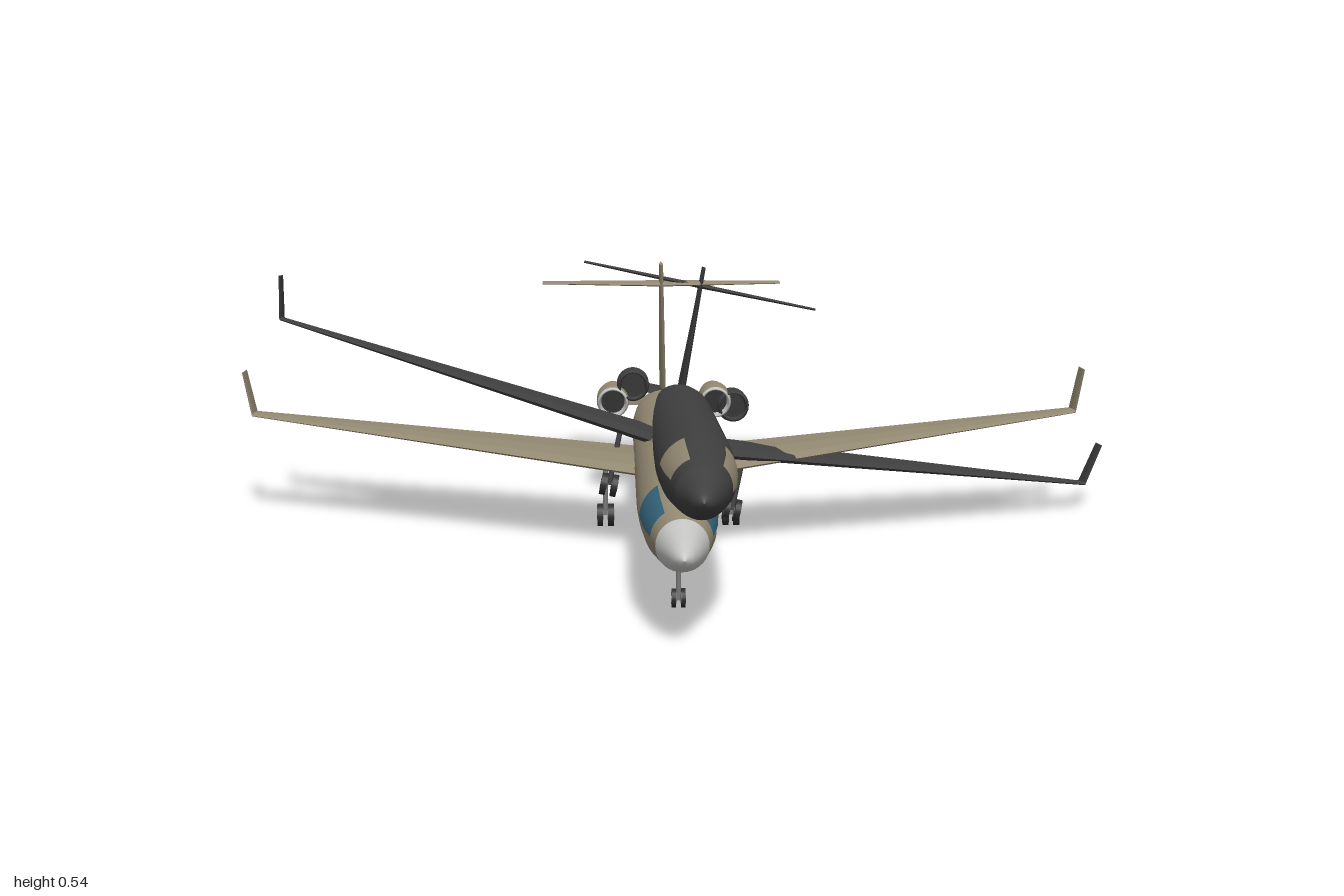
import * as THREE from 'three';

const mat = (name, color) => {
  const m = new THREE.MeshStandardMaterial({ color, side: THREE.DoubleSide });
  m.name = name;
  return m;
};
const V = (x, y, z) => new THREE.Vector3(x, y, z);

// Fuselage outline: [z, radius], tail to nose
const PROFILE = [[-0.98, 0.002], [-0.9, 0.022], [-0.8, 0.042], [-0.7, 0.058], [-0.6, 0.07], [-0.48, 0.0765],
  [-0.2, 0.077], [0.5, 0.077], [0.62, 0.074], [0.75, 0.066], [0.87, 0.048], [0.94, 0.029], [0.97, 0.015], [0.98, 0]];

function radiusAt(z) {
  for (let i = 1; i < PROFILE.length; i++) {
    const [z0, r0] = PROFILE[i - 1], [z1, r1] = PROFILE[i];
    if (z <= z1) return r0 + (r1 - r0) * (z - z0) / (z1 - z0);
  }
  return 0;
}

// Lathe laid along z
function latheZ(points, segments = 32, start = 0, length = Math.PI * 2) {
  const g = new THREE.LatheGeometry(points.map(([z, r]) => new THREE.Vector2(r, z)), segments, start, length);
  return g.rotateX(Math.PI / 2);
}

// A stretch of the body skin, with a slightly dropped nose and raised tail
function skin(z0, z1, offset, segments, start, length) {
  const zs = [z0, ...PROFILE.map(p => p[0]).filter(z => z > z0 && z < z1), z1];
  const g = latheZ(zs.map(z => [z, radiusAt(z) + offset]), segments, start, length);
  const p = g.attributes.position;
  for (let i = 0; i < p.count; i++) {
    const z = p.getZ(i);
    const f = Math.max(0, (Math.abs(z) - 0.5) / 0.48) ** 2;
    p.setY(i, p.getY(i) + f * (z > 0 ? -0.011 : 0.008));
  }
  g.computeVertexNormals();
  return g;
}

// Thin aerofoil blade through stations { x, y, lead, trail, t, nx, ny }; (nx, ny) is the thickness direction
function blade(stations, side = 1) {
  const shape = [[0, 0], [0.12, 0.7], [0.4, 1], [1, 0], [0.4, -1], [0.12, -0.7]];
  const rings = stations.map(s => shape.map(([c, h]) => V(
    side * (s.x + (s.nx ?? 0) * h * s.t), s.y + (s.ny ?? 1) * h * s.t, s.lead + (s.trail - s.lead) * c)));
  const pos = [];
  const tri = (a, b, c) => {
    for (const v of side > 0 ? [a, b, c] : [a, c, b]) pos.push(v.x, v.y, v.z);
  };
  const n = shape.length;
  for (let k = 0; k + 1 < rings.length; k++) {
    for (let i = 0; i < n; i++) {
      const j = (i + 1) % n, a = rings[k], b = rings[k + 1];
      tri(a[i], b[j], b[i]);
      tri(a[i], a[j], b[j]);
    }
  }
  const first = rings[0], last = rings[rings.length - 1];
  for (let i = 1; i + 1 < n; i++) {
    tri(first[0], first[i + 1], first[i]);
    tri(last[0], last[i], last[i + 1]);
  }
  const g = new THREE.BufferGeometry();
  g.setAttribute('position', new THREE.Float32BufferAttribute(pos, 3));
  g.computeVertexNormals();
  return g;
}

function buildJet(paint, noseMat, glassMat, lipMat, tyre, metal) {
  const jet = new THREE.Group();
  const add = (name, geo, material, x = 0, y = 0, z = 0) => {
    const m = new THREE.Mesh(geo, material);
    m.name = name;
    m.position.set(x, y, z);
    jet.add(m);
    return m;
  };

  // Body and nose cone
  add('fuselage', skin(-0.98, 0.87, 0, 36), paint);
  add('noseCone', skin(0.87, 0.98, 0, 36), noseMat);

  // Fin, with its lower edge just above the tail cone
  const fin = blade([
    { x: 0.05, y: 0, lead: -0.57, trail: -0.955, t: 0.008 },
    { x: 0.355, y: 0, lead: -0.815, trail: -0.947, t: 0.005 },
  ]);
  add('fin', fin.rotateZ(Math.PI / 2), paint);
  add('finRoot', new THREE.BoxGeometry(0.012, 0.04, 0.2), paint, 0, 0.045, -0.7);

  for (const s of [1, -1]) {
    // Wing and upturned tip
    add('wing', blade([
      { x: 0, y: -0.012, lead: 0.18, trail: -0.215, t: 0.018 },
      { x: 0.08, y: -0.006, lead: 0.138, trail: -0.23, t: 0.016 },
      { x: 0.95, y: 0.05, lead: -0.33, trail: -0.41, t: 0.004 },
    ], s), paint);
    add('winglet', blade([
      { x: 0.95, y: 0.048, lead: -0.333, trail: -0.412, t: 0.003, nx: -0.97, ny: 0.25 },
      { x: 0.975, y: 0.145, lead: -0.36, trail: -0.428, t: 0.002, nx: -0.97, ny: 0.25 },
    ], s), paint);

    // Tailplane
    add('tailplane', blade([
      { x: 0, y: 0.307, lead: -0.785, trail: -0.943, t: 0.006 },
      { x: 0.3, y: 0.307, lead: -0.845, trail: -0.925, t: 0.003 },
    ], s), paint);

    // Cockpit glass panel on each side
    const low = 5 * Math.PI / 180, span = 53 * Math.PI / 180;
    const start = s > 0 ? Math.PI / 2 + low : Math.PI * 1.5 - low - span;
    add('cockpitWindow', skin(0.65, 0.825, 0.002, 10, start, span), glassMat);

    // Engine nacelle, intake lip, fan, exhaust and pylon
    const ex = s * 0.123, ey = 0.048;
    add('nacelle', latheZ([[-0.735, 0.024], [-0.69, 0.032], [-0.62, 0.039], [-0.56, 0.039], [-0.535, 0.037]], 24), paint, ex, ey);
    add('intakeLip', latheZ([[-0.535, 0.037], [-0.522, 0.034], [-0.522, 0.031], [-0.56, 0.028]], 24), lipMat, ex, ey);
    add('fan', new THREE.CircleGeometry(0.029, 24), tyre, ex, ey, -0.558);
    add('exhaust', new THREE.CircleGeometry(0.025, 24).rotateY(Math.PI), tyre, ex, ey, -0.73);
    add('pylon', new THREE.BoxGeometry(0.06, 0.014, 0.13), paint, s * 0.075, 0.042, -0.65);

    // Main gear with twin wheels
    add('mainStrut', new THREE.CylinderGeometry(0.006, 0.006, 0.15, 10), metal, s * 0.14, -0.075, -0.15);
    for (const w of [-0.012, 0.012]) {
      add('mainWheel', new THREE.CylinderGeometry(0.025, 0.025, 0.013, 20).rotateZ(Math.PI / 2), tyre, s * 0.14 + w, -0.15, -0.15);
      add('mainHub', new THREE.CylinderGeometry(0.011, 0.011, 0.015, 14).rotateZ(Math.PI / 2), metal, s * 0.14 + w, -0.15, -0.15);
    }
    // Nose wheels
    add('noseWheel', new THREE.CylinderGeometry(0.018, 0.018, 0.008, 18).rotateZ(Math.PI / 2), tyre, s * 0.009, -0.156, 0.635);
    add('noseHub', new THREE.CylinderGeometry(0.011, 0.011, 0.01, 14).rotateZ(Math.PI / 2), metal, s * 0.009, -0.156, 0.635);
  }
  add('noseStrut', new THREE.CylinderGeometry(0.005, 0.005, 0.1, 10), metal, 0, -0.11, 0.635);
  return jet;
}

export function createModel() {
  const beige = mat('beigePaint', 0x958b74);
  const dark = mat('charcoalPaint', 0x404040);
  const silver = mat('silverNose', 0xc4c4c2);
  const glass = mat('blueGlass', 0x35667c);
  const tyre = mat('tyreBlack', 0x2c2c2c);
  const metal = mat('gearMetal', 0x77787a);

  const model = new THREE.Group();
  model.name = 'twinJets';

  // Level beige jet
  const level = buildJet(beige, silver, glass, silver, tyre, metal);
  level.name = 'levelJet';
  level.position.set(-0.022, 0.175, 0);

  // Dark jet, banked and pitched up, overlapping the first
  const banked = buildJet(dark, dark, beige, dark, tyre, dark);
  banked.name = 'bankedJet';
  banked.position.set(0.014, 0.22, -0.003);
  banked.rotation.set(-0.055, 0, -0.207);

  model.add(level, banked);
  return model;
}
